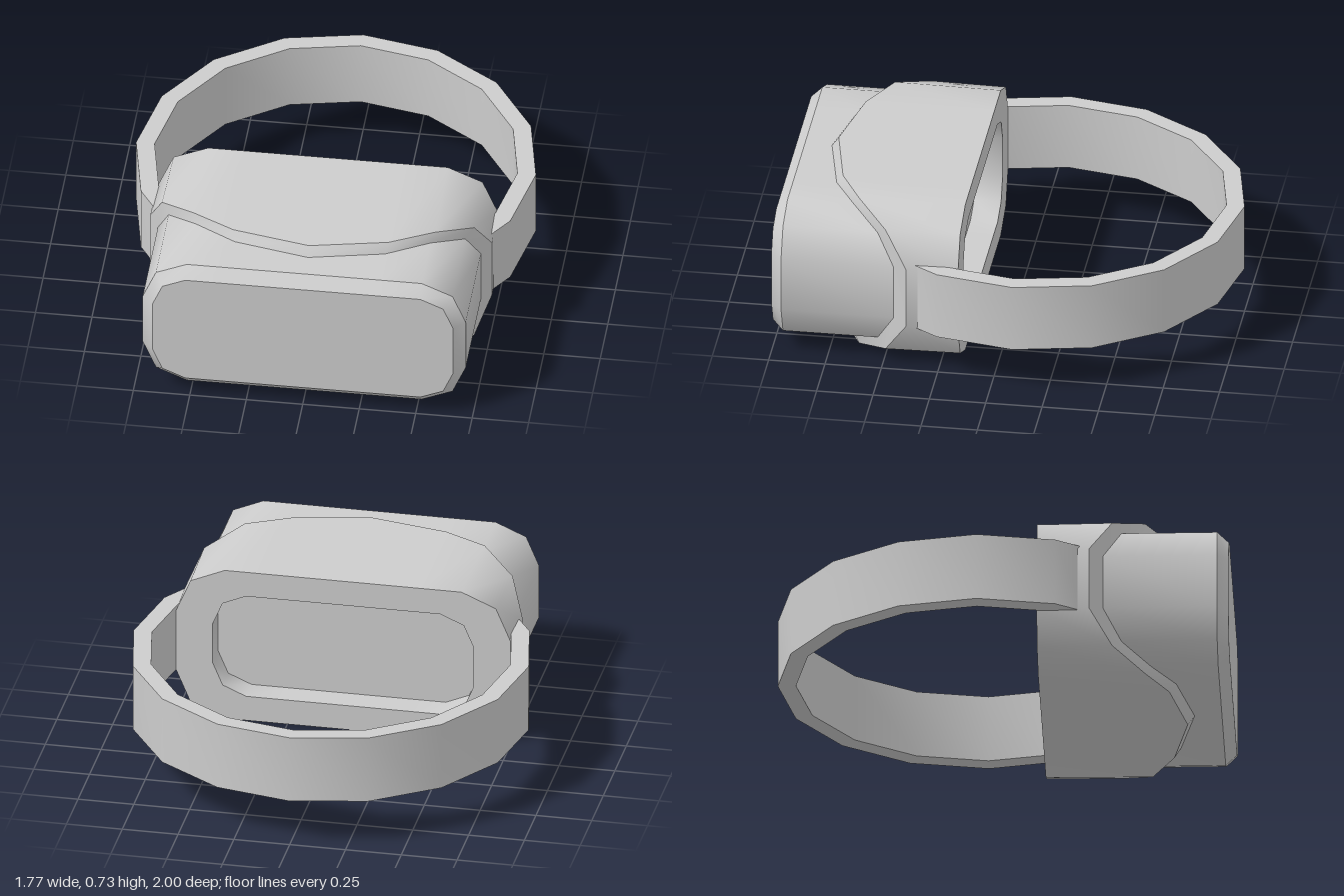
import * as THREE from 'three';
import { mergeGeometries, toCreasedNormals } from 'three/addons/utils/BufferGeometryUtils.js';

const MID_Y = 0.3625;

// Rounded-rectangle ring, counterclockwise seen from the front.
// z is one depth, or five depths running from the middle of the top edge to the side.
function ring(hw, hh, r, z) {
  const zs = Array.isArray(z) ? z : Array(5).fill(z);
  const quarter = [
    [0, hh], [(hw - r) * 0.64, hh], [hw - r, hh],
    [hw - 0.3 * r, hh - 0.3 * r], [hw, hh - r],
  ].map(([x, y], i) => [x, y, zs[i]]);
  const flip = (pts, sx, sy) => pts.map(([x, y, d]) => [x * sx, y * sy, d]);
  const back = [...quarter].reverse();
  return [
    ...flip(back, 1, 1), ...flip(quarter.slice(1), -1, 1),
    ...flip(back, -1, -1), ...flip(quarter.slice(1), 1, -1),
  ].map(([x, y, d]) => new THREE.Vector3(x, y + MID_Y, d));
}

// Skin between successive rings: each band is smooth, with hard edges between bands
function loft(rings) {
  const bands = [];
  for (let k = 0; k < rings.length - 1; k++) {
    const pos = [];
    const tri = (a, b, c) => {
      if (new THREE.Triangle(a, b, c).getArea() > 1e-7) {
        for (const p of [a, b, c]) pos.push(p.x, p.y, p.z);
      }
    };
    const A = rings[k], B = rings[k + 1];
    for (let i = 0; i < A.length; i++) {
      const j = (i + 1) % A.length;
      tri(A[i], A[j], B[j]);
      tri(A[i], B[j], B[i]);
    }
    const g = new THREE.BufferGeometry();
    g.setAttribute('position', new THREE.Float32BufferAttribute(pos, 3));
    bands.push(toCreasedNormals(g, 0.85));
  }
  return mergeGeometries(bands);
}

// Points of the sixteen-sided head band, from one side round the back to the other
function bandArc(rx, rz) {
  const pts = [];
  for (let k = -5; k <= 5; k++) {
    const a = (k * Math.PI) / 8;
    pts.push(new THREE.Vector2(rx * Math.sin(a), 0.1 + rz * Math.cos(a)));
  }
  return pts;
}

export function createModel() {
  const group = new THREE.Group();
  const grey = new THREE.MeshStandardMaterial({ color: 0xcccccc });
  grey.name = 'light grey';
  const add = (name, geometry) => {
    const mesh = new THREE.Mesh(geometry, grey);
    mesh.name = name;
    group.add(mesh);
  };

  const rimZ = [0.83, 0.76, 0.655, 0.53, 0.45];

  // Rear shell: recessed eye opening, back rim, outer wall and bevelled curved front edge
  add('rearShell', loft([
    ring(0, 0, 0, 0.28),
    ring(0.585, 0.245, 0.15, 0.28),
    ring(0.585, 0.245, 0.15, 0.16),
    ring(0.75, 0.3625, 0.22, 0.16),
    ring(0.757, 0.3625, 0.22, [0.8, 0.73, 0.63, 0.49, 0.39]),
    ring(0.715, 0.32, 0.195, rimZ),
  ]));

  // Front housing with bevelled flat face
  add('frontHousing', loft([
    ring(0.715, 0.32, 0.195, rimZ),
    ring(0.715, 0.32, 0.195, 0.95),
    ring(0.665, 0.27, 0.145, 1),
    ring(0, 0, 0, 1),
  ]));

  // Head band, its ends tucked into the shell sides
  const outline = [
    new THREE.Vector2(-0.735, -0.37), ...bandArc(0.885, 0.9),
    new THREE.Vector2(0.735, -0.37), new THREE.Vector2(0.7, -0.3),
    ...bandArc(0.803, 0.82).reverse(), new THREE.Vector2(-0.7, -0.3),
  ];
  const band = new THREE.ExtrudeGeometry(new THREE.Shape(outline), { depth: 0.31, bevelEnabled: false });
  band.rotateX(-Math.PI / 2);
  band.translate(0, 0.213, 0);
  add('headBand', toCreasedNormals(band, 0.6));

  return group;
}
